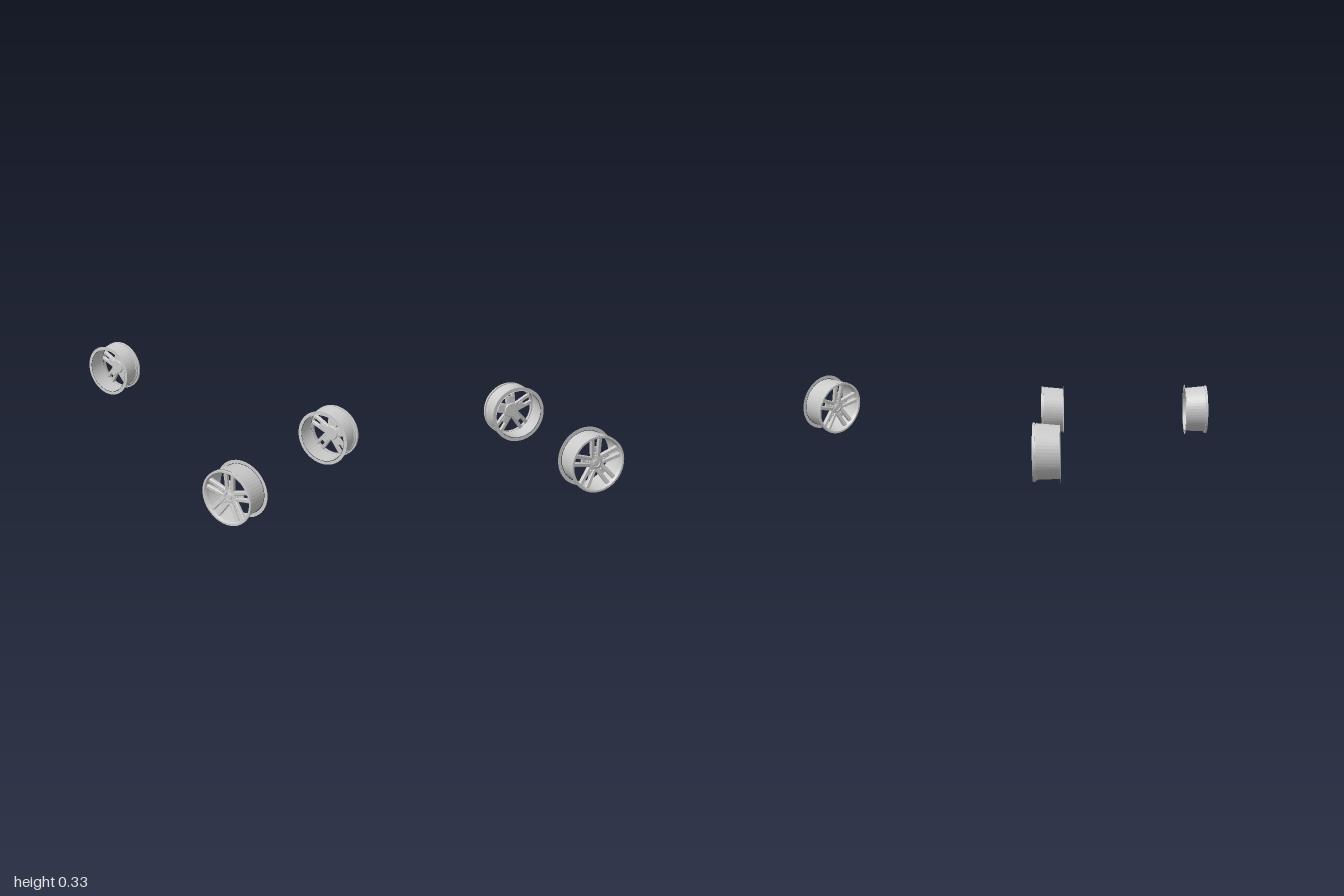
import * as THREE from 'three';
import { toCreasedNormals } from 'three/addons/utils/BufferGeometryUtils.js';

const grey = new THREE.MeshStandardMaterial({ color: 0xcccccc, side: THREE.DoubleSide });
const SEG = 48;

function add(parent, name, geometry) {
  const mesh = new THREE.Mesh(geometry, grey);
  mesh.name = name;
  parent.add(mesh);
  return mesh;
}

// Turned part around the wheel axis (local z); points are [radius, z]
function turned(points) {
  const g = new THREE.LatheGeometry(points.map(p => new THREE.Vector2(...p)), SEG);
  return toCreasedNormals(g.rotateX(Math.PI / 2), 0.6);
}

// Flat plate from an outline, front face at z = 0
function plate(points, depth, bevel) {
  const g = new THREE.ExtrudeGeometry(new THREE.Shape(points.map(p => new THREE.Vector2(...p))), {
    depth, bevelEnabled: true, bevelSize: bevel, bevelThickness: bevel, bevelSegments: 1,
  });
  return g.translate(0, 0, -depth - bevel);
}

// Wheel with its inner end at z = 0 and its outer face towards +z
function makeWheel(side) {
  const wheel = new THREE.Group();
  wheel.name = 'wheel';

  // Open barrel, slightly skewed towards the outer face
  const barrel = turned([[0.143, 0.004], [0.15, 0.13]]);
  const p = barrel.attributes.position;
  for (let i = 0; i < p.count; i++) {
    const t = p.getZ(i) / 0.13;
    p.setXY(i, p.getX(i) - 0.006 * side * t, p.getY(i) + 0.006 * t);
  }
  barrel.computeVertexNormals();
  add(wheel, 'barrel', barrel);

  // Thin inner flange and solid outer lip with a groove behind it
  add(wheel, 'innerFlange', new THREE.RingGeometry(0.146, 0.166, SEG)).position.z = 0.005;
  add(wheel, 'outerLip', turned([
    [0.141, 0.118], [0.15, 0.128], [0.15, 0.136], [0.158, 0.136],
    [0.158, 0.149], [0.147, 0.149], [0.141, 0.14], [0.141, 0.118],
  ]));

  // Hub with a centre cap
  add(wheel, 'hub', turned([
    [0, 0.095], [0.04, 0.095], [0.044, 0.102], [0.04, 0.122], [0.024, 0.125],
    [0.022, 0.12], [0.019, 0.12], [0.017, 0.126], [0, 0.128],
  ]));

  // Five twin spokes, each with a recessed web and a bolt
  for (let k = 0; k < 5; k++) {
    const spoke = new THREE.Group();
    spoke.name = 'twinSpoke';
    spoke.rotation.z = k * 2 * Math.PI / 5;
    wheel.add(spoke);

    for (const s of [-1, 1]) {
      const outline = [[0.010, 0.024], [0.024, 0.024], [0.031, 0.142], [0.015, 0.144]];
      const g = plate(outline.map(([x, y]) => [x * s, y]), 0.016, 0.003);
      const v = g.attributes.position;
      // Spokes rise from the hub to the lip
      for (let i = 0; i < v.count; i++) v.setZ(i, v.getZ(i) + 0.122 + 0.13 * (v.getY(i) - 0.024));
      g.computeVertexNormals();
      add(spoke, 'spokeBar', g);
    }
    add(spoke, 'spokeWeb', plate([[-0.015, 0.03], [0.015, 0.03], [0.016, 0.085], [-0.016, 0.085]], 0.01, 0.001))
      .position.z = 0.115;
    const bolt = add(spoke, 'bolt', new THREE.CylinderGeometry(0.006, 0.007, 0.012, 12));
    bolt.rotation.x = Math.PI / 2;
    bolt.position.set(0, 0.052, 0.12);
  }
  return wheel;
}

export function createModel() {
  const model = new THREE.Group();
  model.name = 'wheelSet';
  // Two rear wheels and one front wheel, outer faces pointing away from the middle
  for (const [sx, sz, name] of [[1, 1, 'frontLeftWheel'], [1, -1, 'backLeftWheel'], [-1, -1, 'backRightWheel']]) {
    const wheel = makeWheel(sz);
    wheel.name = name;
    wheel.position.set(0.834 * sx, 0.166, 0.4 * sz);
    if (sz < 0) wheel.rotation.y = Math.PI;
    model.add(wheel);
  }
  return model;
}
